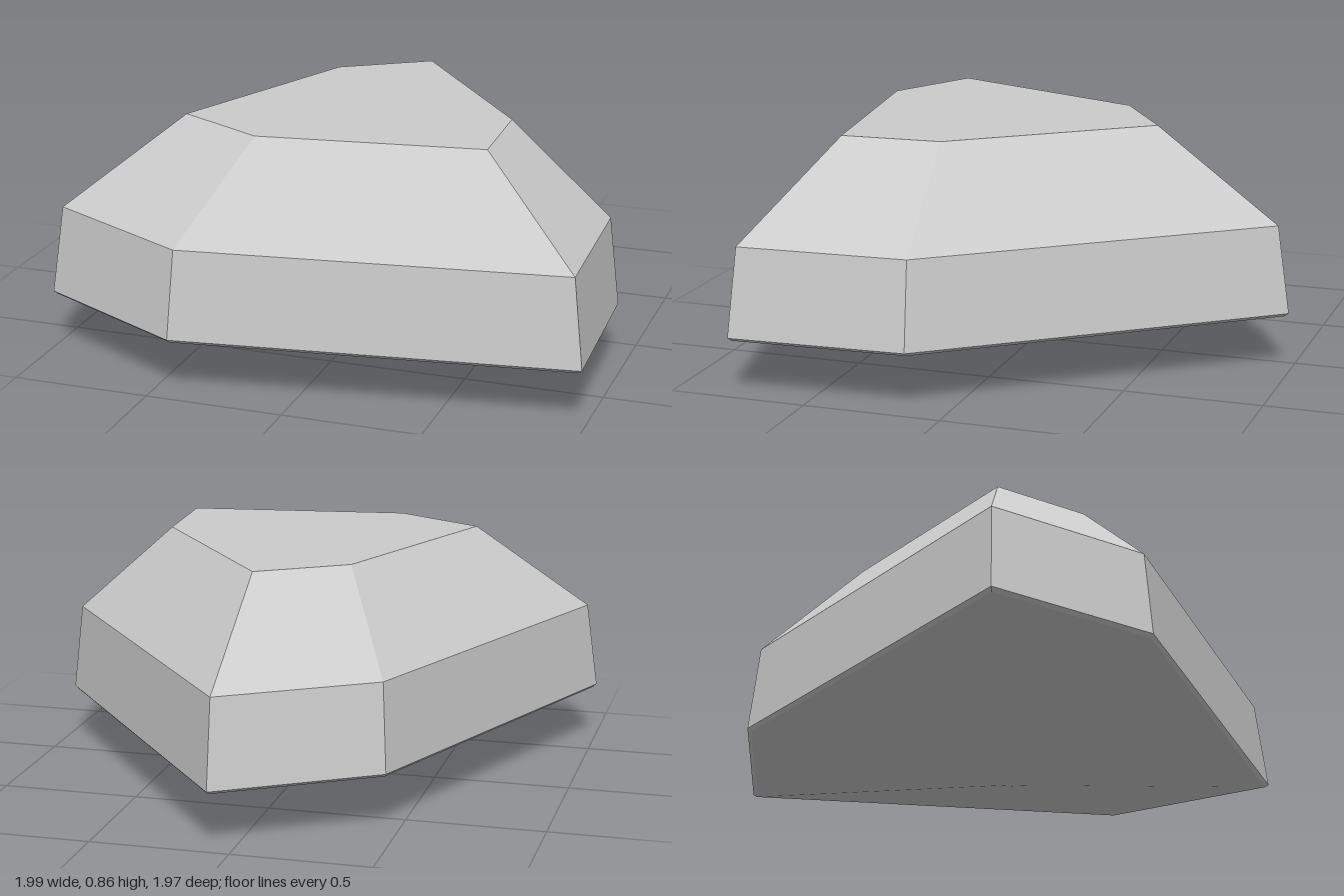
import * as THREE from 'three';

// Widest outline of the stone as [x, z], clockwise seen from above
const outline = [
  [0.08, -0.99], [0.96, 0.14], [0.99, 0.785],
  [-0.425, 0.98], [-1.0, 0.68], [-0.46, -0.645],
];
// The outline shrinks towards this axis
const axis = { x: 0.03, z: 0.17 };
// Levels from the blunt tip to the flat top: [height, outline scale]
const levels = [
  [0, 0.035], [0.198, 0.985], [0.21, 1], [0.53, 0.96], [0.86, 0.568],
];

function buildStone() {
  const rings = levels.map(([y, s]) => outline.map(([x, z]) =>
    [axis.x + (x - axis.x) * s, y, axis.z + (z - axis.z) * s]));
  const pos = [];
  const tri = (a, b, c) => pos.push(...a, ...b, ...c);
  const n = outline.length;

  // Side facets between neighbouring levels
  for (let k = 0; k < rings.length - 1; k++) {
    for (let i = 0; i < n; i++) {
      const j = (i + 1) % n;
      const low = rings[k], high = rings[k + 1];
      tri(low[j], low[i], high[i]);
      tri(low[j], high[i], high[j]);
    }
  }
  // Flat top and small flat tip
  const tip = rings[0], top = rings[rings.length - 1];
  for (let i = 1; i < n - 1; i++) {
    tri(top[0], top[i + 1], top[i]);
    tri(tip[0], tip[i], tip[i + 1]);
  }

  const geometry = new THREE.BufferGeometry();
  geometry.setAttribute('position', new THREE.Float32BufferAttribute(pos, 3));
  geometry.computeVertexNormals();
  return geometry;
}

export function createModel() {
  const group = new THREE.Group();
  group.name = 'facetedStone';
  const stone = new THREE.Mesh(buildStone(),
    new THREE.MeshStandardMaterial({ color: 0xcccccc, flatShading: true }));
  stone.name = 'stone';
  group.add(stone);
  return group;
}
